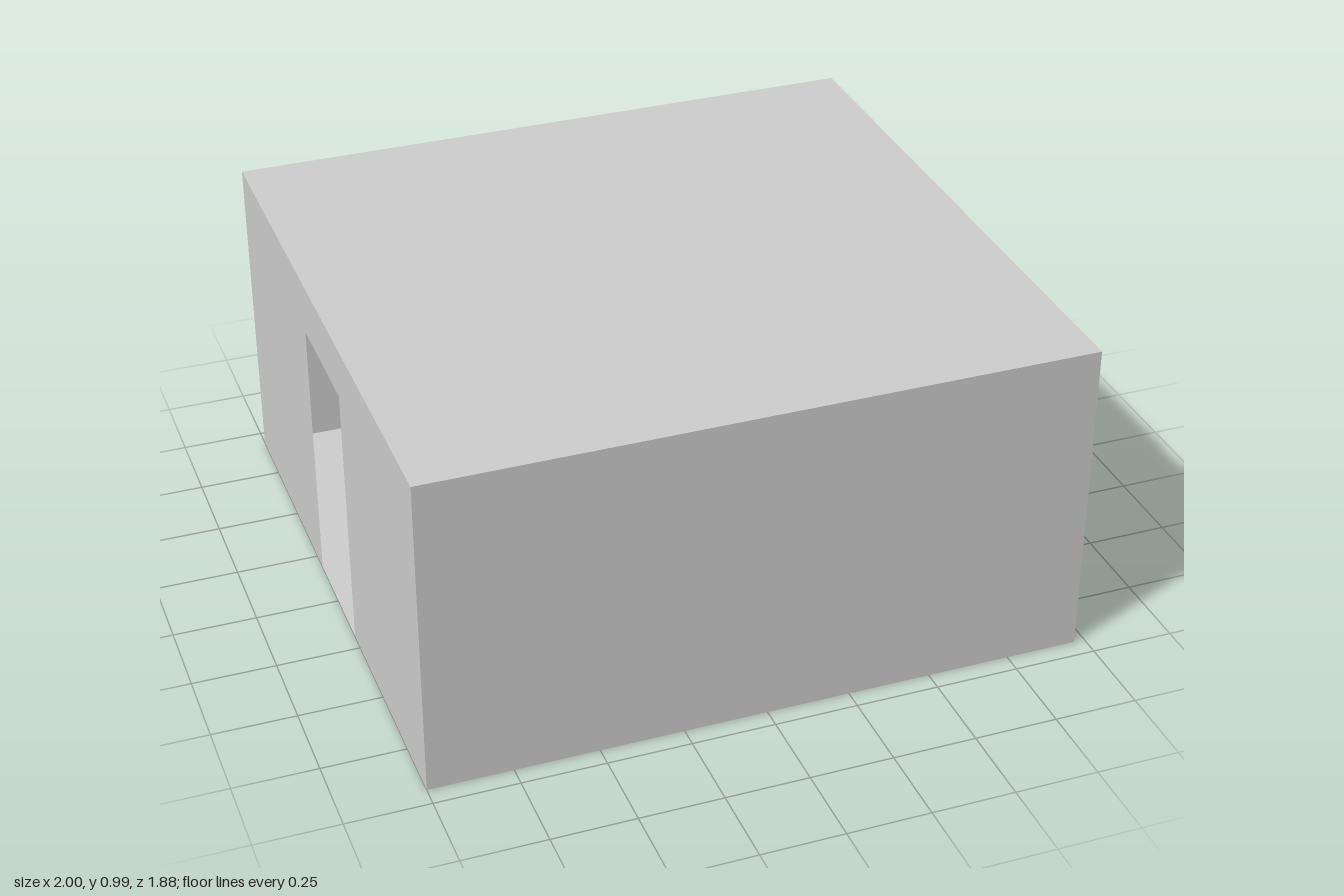
import * as THREE from 'three';

const grey = new THREE.MeshStandardMaterial({ color: 0xcccccc, flatShading: true });
const thin = new THREE.MeshStandardMaterial({ color: 0xcccccc, flatShading: true, side: THREE.DoubleSide });
const smooth = new THREE.MeshStandardMaterial({ color: 0xcccccc });

const X0 = -1, X1 = 0.967, Z = 0.94, H = 0.985;   // room extents
const OPEN = 0.19, OPEN_H = 0.825;                // doorway half width and height
const LEAF = 0.024, RECESS = 0.008;               // door leaf thickness and panel depth

function add(parent, name, geometry, material = grey) {
  const mesh = new THREE.Mesh(geometry, material);
  mesh.name = name;
  parent.add(mesh);
  return mesh;
}

const toShape = pts => new THREE.Shape(pts.map(([x, y]) => new THREE.Vector2(x, y)));

// Upright outline with a doorway notched out of its lower edge
const archOutline = (half, top) => toShape([
  [-half, 0], [-OPEN, 0], [-OPEN, OPEN_H], [OPEN, OPEN_H], [OPEN, 0], [half, 0], [half, top], [-half, top],
]);

// Panel outline with a peaked top, shrunk by an inset
const panelOutline = ({ half, bottom, shoulder, peak }, d) => [
  [-half + d, bottom + d], [half - d, bottom + d], [half - d, shoulder - d], [0, peak - d], [-half + d, shoulder - d],
];

// Sloping border from the leaf face down to the sunken panel
function bevelGeometry(outer, inner, depth) {
  const pos = [];
  outer.forEach((a, i) => {
    const j = (i + 1) % outer.length, b = outer[j], c = inner[j], d = inner[i];
    pos.push(...a, 0, ...b, 0, ...c, -depth, ...a, 0, ...c, -depth, ...d, -depth);
  });
  const g = new THREE.BufferGeometry();
  g.setAttribute('position', new THREE.Float32BufferAttribute(pos, 3));
  g.computeVertexNormals();
  return g;
}

function makeRoom() {
  const room = new THREE.Group();
  room.name = 'room';
  const w = X1 - X0, cx = (X0 + X1) / 2;
  for (const [name, y] of [['floor', 0], ['ceiling', H]]) {
    const m = add(room, name, new THREE.PlaneGeometry(w, 2 * Z), thin);
    m.rotation.x = y ? -Math.PI / 2 : Math.PI / 2;
    m.position.set(cx, y, 0);
  }
  for (const [name, s] of [['frontWall', 1], ['backWall', -1]]) {
    const m = add(room, name, new THREE.PlaneGeometry(w, H), thin);
    m.rotation.y = s > 0 ? 0 : Math.PI;
    m.position.set(cx, H / 2, s * Z);
  }
  // Both side walls have a doorway; only one is filled by a door
  for (const [name, x, s] of [['doorWall', X1, 1], ['openWall', X0, -1]]) {
    const m = add(room, name, new THREE.ShapeGeometry(archOutline(Z, H)), thin);
    m.rotation.y = s * Math.PI / 2;
    m.position.x = x;
  }
  return room;
}

// One face of the leaf with two sunken panels and a lever handle, facing +z
function makeDoorFace(handleSide) {
  const face = new THREE.Group();
  const panels = [
    { half: 0.126, bottom: 0.315, shoulder: 0.74, peak: 0.772 },
    { half: 0.126, bottom: 0.065, shoulder: 0.268, peak: 0.268 },
  ];
  const board = toShape([[-OPEN, 0], [OPEN, 0], [OPEN, OPEN_H], [-OPEN, OPEN_H]]);
  for (const p of panels) {
    const outer = panelOutline(p, 0), inner = panelOutline(p, 0.02);
    board.holes.push(new THREE.Path(outer.map(q => new THREE.Vector2(...q))));
    add(face, 'panelBevel', bevelGeometry(outer, inner, RECESS));
    add(face, 'sunkenPanel', new THREE.ShapeGeometry(toShape(inner))).position.z = -RECESS;
  }
  const slab = new THREE.ExtrudeGeometry(board, { depth: LEAF / 2, bevelEnabled: false });
  add(face, 'doorBoard', slab).position.z = -LEAF / 2;

  const handle = new THREE.Group();
  handle.name = 'handle';
  const rose = add(handle, 'handleRose', new THREE.CylinderGeometry(0.014, 0.014, 0.005, 24), smooth);
  rose.rotation.x = Math.PI / 2;
  rose.position.z = 0.0025;
  const stem = add(handle, 'handleStem', new THREE.CylinderGeometry(0.006, 0.006, 0.022, 16), smooth);
  stem.rotation.x = Math.PI / 2;
  stem.position.z = 0.011;
  const lever = add(handle, 'handleLever', new THREE.CapsuleGeometry(0.005, 0.036, 6, 12), smooth);
  lever.rotation.z = Math.PI / 2;
  lever.position.set(-handleSide * 0.018, 0, 0.022);
  handle.position.set(handleSide * 0.16, 0.39, 0);
  face.add(handle);
  return face;
}

function makeDoor() {
  const door = new THREE.Group();
  door.name = 'door';
  const frame = new THREE.ExtrudeGeometry(archOutline(0.215, 0.855), { depth: 1 - X1, bevelEnabled: false });
  add(door, 'doorFrame', frame);

  const outside = makeDoorFace(1);
  outside.name = 'outsideFace';
  outside.position.z = 0.001;
  const inside = makeDoorFace(-1);
  inside.name = 'insideFace';
  inside.rotation.y = Math.PI;
  inside.position.z = 0.001 - LEAF;
  door.add(outside, inside);

  door.rotation.y = Math.PI / 2;
  door.position.x = X1;
  return door;
}

export function createModel() {
  const model = new THREE.Group();
  model.name = 'roomWithDoor';
  model.add(makeRoom(), makeDoor());
  return model;
}
